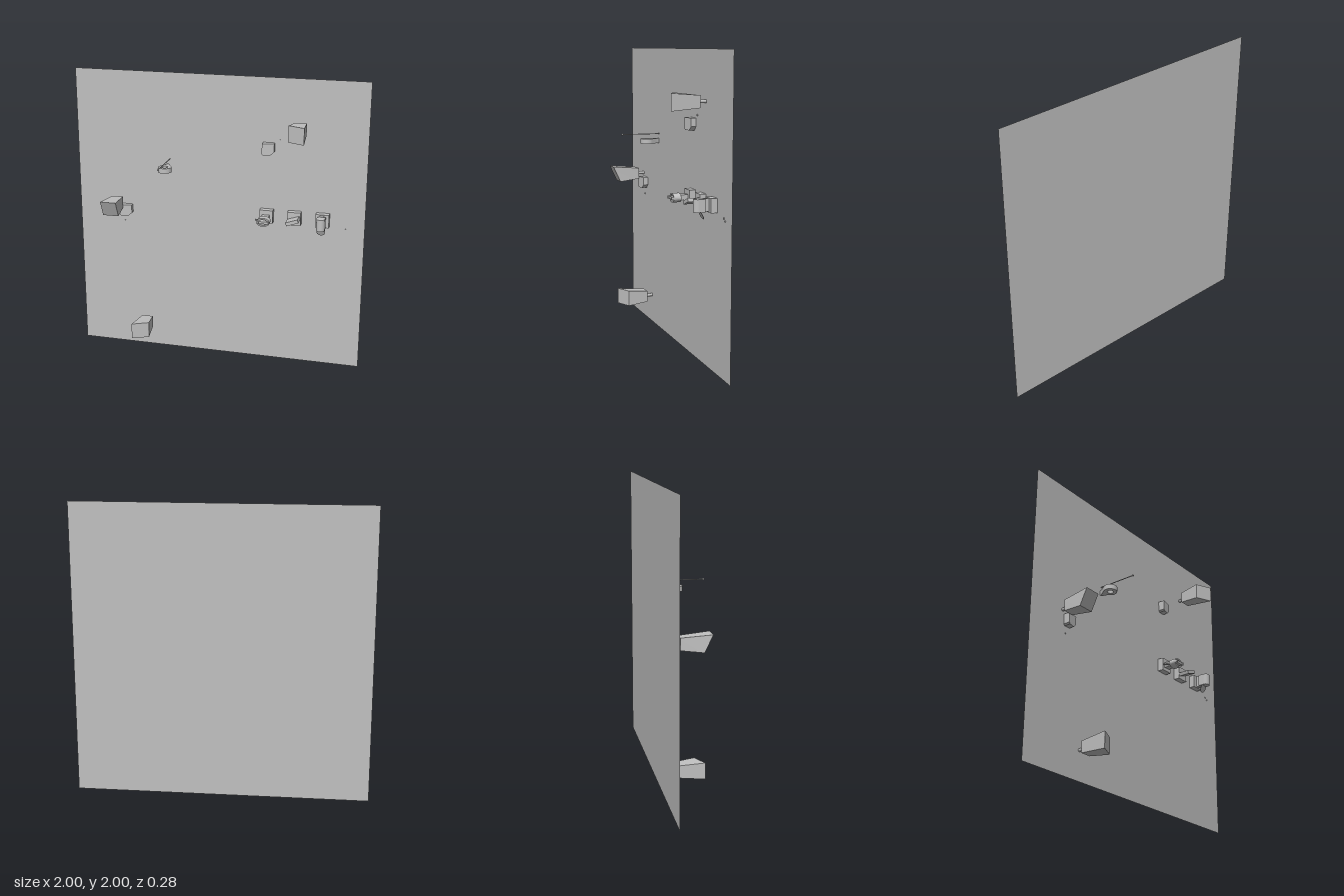
import * as THREE from 'three';

const WALL = -0.14;

export function createModel() {
  const root = new THREE.Group();
  const grey = new THREE.MeshStandardMaterial({ color: 0xc0c0c0, side: THREE.DoubleSide });
  grey.name = 'plain grey';

  const add = (parent, name, geo, x = 0, y = 0, z = 0) => {
    const m = new THREE.Mesh(geo, grey);
    m.name = name;
    m.position.set(x, y, z);
    parent.add(m);
    return m;
  };
  const group = (name, x, y) => {
    const g = new THREE.Group();
    g.name = name;
    g.position.set(x, y, 0);
    root.add(g);
    return g;
  };
  // cylinder along z between two depths
  const rod = (r, z0, z1, sides = 20) =>
    new THREE.CylinderGeometry(r, r, z1 - z0, sides).rotateX(Math.PI / 2).translate(0, 0, (z0 + z1) / 2);

  // backing wall
  add(root, 'wall', new THREE.PlaneGeometry(2, 2), 0, 1, WALL);

  // flared housings with a slanted front, long side turned by angle
  const housing = (name, x, y, angle) => {
    const g = group(name, x, y);
    g.rotation.z = angle;
    const geo = new THREE.BoxGeometry(2, 2, 2);
    const p = geo.attributes.position;
    for (let i = 0; i < p.count; i++) {
      const front = p.getZ(i) > 0;
      const h = front ? 0.055 : 0.039;
      const z = front ? (p.getX(i) > 0 ? 0.108 : 0.056) : -0.09;
      p.setXYZ(i, p.getX(i) * h, p.getY(i) * h, z);
    }
    geo.computeVertexNormals();
    add(g, 'housingBody', geo);
    add(g, 'housingStem', rod(0.011, WALL, -0.088));
  };
  housing('upperRightHousing', 0.561, 1.68, 0);
  housing('leftHousing', -0.71, 1.085, Math.PI / 2);
  housing('lowerHousing', -0.51, 0.2, Math.PI);

  // small blocks with chamfered lower corners and a slanted face
  const block = (name, x, y) => {
    const s = new THREE.Shape();
    [[-0.04, 0.04], [-0.04, -0.03], [-0.03, -0.04], [0.015, -0.04], [0.04, -0.015], [0.04, 0.04]]
      .forEach(([a, b], i) => (i ? s.lineTo(a, b) : s.moveTo(a, b)));
    const geo = new THREE.ExtrudeGeometry(s, { depth: 0.048, bevelEnabled: false });
    const p = geo.attributes.position;
    for (let i = 0; i < p.count; i++) {
      if (p.getZ(i) > 0.01) p.setZ(i, 0.04 - p.getX(i) * 0.2);
    }
    geo.computeVertexNormals();
    add(root, name, geo, x, y, WALL);
  };
  block('upperBlock', 0.345, 1.525);
  block('leftBlock', -0.655, 1.02);

  // teardrop ring lying flat, pointed end on the wall
  const drop = new THREE.Shape();
  drop.moveTo(0, 0.14);
  drop.bezierCurveTo(-0.008, 0.115, -0.03, 0.09, -0.042, 0.069);
  drop.absarc(0, 0.05, 0.046, Math.PI * 0.87, Math.PI * 2.13, false);
  drop.bezierCurveTo(0.03, 0.09, 0.008, 0.115, 0, 0.14);
  const hole = new THREE.Path();
  hole.absarc(0, 0.05, 0.021, 0, Math.PI * 2, true);
  drop.holes.push(hole);
  const ring = new THREE.ExtrudeGeometry(drop, { depth: 0.034, bevelEnabled: false, curveSegments: 32 });
  ring.rotateX(-Math.PI / 2);
  add(root, 'ringHolder', ring, -0.351, 1.338, 0);

  // long thin pin with a knob
  const pin = group('pin', -0.341, 1.405);
  add(pin, 'pinRod', rod(0.003, WALL, 0.132, 12));
  add(pin, 'pinKnob', new THREE.SphereGeometry(0.007, 16, 12), 0, 0, 0.133);

  // three square mounting plates in a row
  const mount = (name, x) => {
    const g = group(name, x, 1.06);
    add(g, 'mountPlate', new THREE.BoxGeometry(0.09, 0.09, 0.042), 0, 0, -0.119);
    return g;
  };

  // clamp: neck, two stacked rounded jaws and a side lever
  const clamp = mount('clampMount', 0.34);
  add(clamp, 'clampNeck', new THREE.BoxGeometry(0.05, 0.035, 0.06), 0, -0.004, -0.075);
  const lens = new THREE.Shape();
  lens.absellipse(0, 0, 0.044, 0.03, 0, Math.PI * 2);
  const gap = new THREE.Path();
  gap.absellipse(0, 0, 0.033, 0.02, 0, Math.PI * 2, true);
  lens.holes.push(gap);
  const frame = new THREE.ExtrudeGeometry(lens, { depth: 0.05, bevelEnabled: false, curveSegments: 24 });
  add(clamp, 'clampFrame', frame, 0, -0.006, -0.045);
  add(clamp, 'clampCore', new THREE.BoxGeometry(0.072, 0.016, 0.06), 0, -0.006, -0.016);
  [-1, 1].forEach((s) =>
    add(clamp, 'clampJaw', new THREE.BoxGeometry(0.012, 0.018, 0.02), s * 0.034, -0.006, 0.01));
  const lever = new THREE.CatmullRomCurve3([
    new THREE.Vector3(-0.02, -0.008, -0.05),
    new THREE.Vector3(-0.045, -0.014, -0.062),
    new THREE.Vector3(-0.066, -0.018, -0.078),
  ]);
  add(clamp, 'clampLever', new THREE.TubeGeometry(lever, 12, 0.006, 8));

  // tilted slab
  const shelf = mount('slabMount', 0.53);
  add(shelf, 'tiltedSlab', new THREE.BoxGeometry(0.085, 0.024, 0.08), 0, -0.002, -0.06).rotation.z = 0.33;

  // upright rounded grip with a thin tongue below
  const grip = mount('gripMount', 0.72);
  add(grip, 'gripNeck', new THREE.BoxGeometry(0.026, 0.08, 0.04), 0, 0.002, -0.085);
  const section = new THREE.Shape();
  section.moveTo(-0.028, 0.07);
  section.lineTo(-0.028, 0.026);
  section.absarc(0, 0.028, 0.028, Math.PI, Math.PI * 2, false);
  section.lineTo(0.028, 0.07);
  const body = new THREE.ExtrudeGeometry(section, { depth: 0.08, bevelEnabled: false, curveSegments: 20 });
  add(grip, 'gripBody', body.rotateX(-Math.PI / 2), 0, -0.04, 0);
  const tip = new THREE.Shape();
  tip.moveTo(-0.028, 0.02);
  tip.lineTo(-0.028, -0.022);
  tip.absarc(0, -0.022, 0.028, Math.PI, Math.PI * 2, false);
  tip.lineTo(0.028, 0.02);
  const tongue = new THREE.ExtrudeGeometry(tip, { depth: 0.003, bevelEnabled: false, curveSegments: 20 });
  add(grip, 'gripTongue', tongue, 0, -0.04, -0.045).rotation.x = 0.45;

  // small wall studs
  [[0.415, 1.585], [-0.675, 0.932], [0.874, 1.0], [0.894, 0.985]].forEach(([x, y]) =>
    add(root, 'stud', rod(0.006, WALL, -0.135, 12), x, y, 0));

  return root;
}
